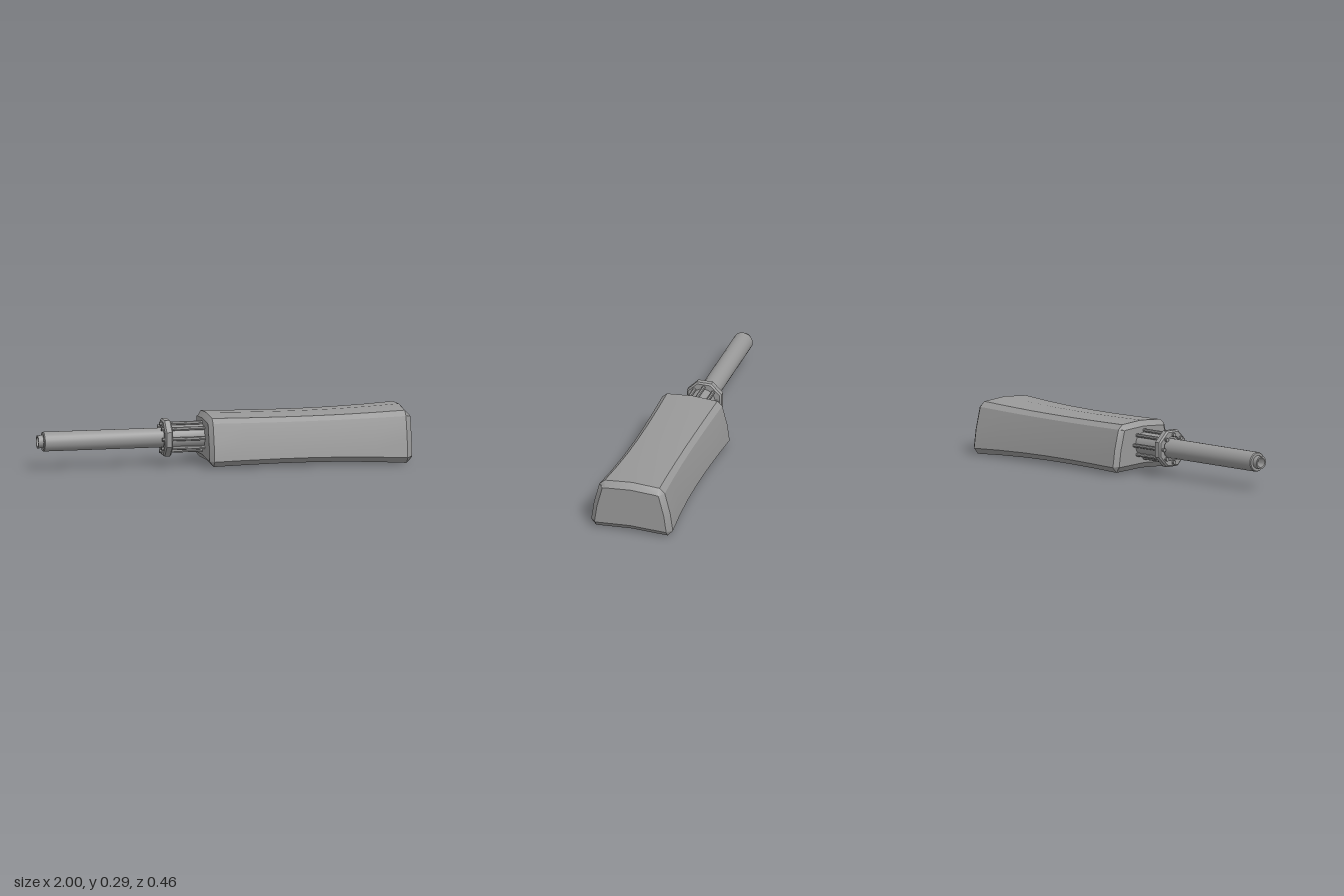
import * as THREE from 'three';
import { toCreasedNormals } from 'three/addons/utils/BufferGeometryUtils.js';

const AXIS_Y = 0.152;
const CENTRE_Y = 0.147;

// Half cross-sections as [z, y], from top centre round to bottom centre
const RIM = [[0, 0.29], [0.153, 0.279], [0.183, 0.252], [0.213, 0.138], [0.228, 0.034], [0.2, 0.002], [0, 0.012]];
const END = [[0, 0.258], [0.14, 0.249], [0.157, 0.246], [0.187, 0.13], [0.2, 0.04], [0.199, 0.034], [0, 0.044]];

function fullLoop(half) {
  const mirrored = half.slice(1, -1).reverse().map(([z, y]) => [-z, y]);
  return [...half, ...mirrored];
}

// Body: one section scaled along x, with bevelled ends
function bodyGeometry() {
  const stations = [
    [-0.1, 0.92, END], [-0.078, 0.92, RIM], [0.1, 0.892, RIM], [0.28, 0.876, RIM], [0.45, 0.875, RIM],
    [0.62, 0.893, RIM], [0.8, 0.937, RIM], [0.97, 1, RIM], [1, 1, END],
  ];
  const pos = [], idx = [];
  for (const [x, s, half] of stations) {
    for (const [z, y] of fullLoop(half)) pos.push(x, CENTRE_Y + (y - CENTRE_Y) * s, z * s);
  }
  const n = 12, last = (stations.length - 1) * n;
  for (let i = 0; i < stations.length - 1; i++) {
    for (let j = 0; j < n; j++) {
      const k = (j + 1) % n;
      const a = i * n + j, b = i * n + k, c = a + n, d = b + n;
      idx.push(a, b, c, b, d, c);
    }
  }
  // Flat end caps
  const c0 = pos.length / 3;
  pos.push(-0.1, CENTRE_Y, 0, 1, CENTRE_Y, 0);
  for (let j = 0; j < n; j++) {
    const k = (j + 1) % n;
    idx.push(c0, k, j, c0 + 1, last + j, last + k);
  }
  const g = new THREE.BufferGeometry();
  g.setAttribute('position', new THREE.Float32BufferAttribute(pos, 3));
  g.setIndex(idx);
  return toCreasedNormals(g, 0.55);
}

// Turned part along x; profile given as [radius, x]
function turned(profile, sides, phase = 0) {
  const g = new THREE.LatheGeometry(profile.map(([r, x]) => new THREE.Vector2(r, x)), sides, phase);
  g.rotateZ(-Math.PI / 2);
  return toCreasedNormals(g, 0.55);
}

export function createModel() {
  const model = new THREE.Group();
  const grey = new THREE.MeshStandardMaterial({ color: 0x999999 });
  grey.name = 'grey';

  function add(name, geometry, y = 0, z = 0) {
    const mesh = new THREE.Mesh(geometry, grey);
    mesh.name = name;
    mesh.position.set(0, y, z);
    model.add(mesh);
  }

  add('body', bodyGeometry());

  // Barrel with narrow hollow muzzle
  add('barrel', turned([
    [0, -0.95], [0.026, -0.95], [0.026, -1], [0.035, -1], [0.035, -0.972],
    [0.049, -0.972], [0.053, -0.967], [0.053, -0.29],
  ], 20), AXIS_Y);

  // Octagonal flange with a recess round the barrel
  add('flange', turned([
    [0.05, -0.307], [0.068, -0.307], [0.068, -0.322], [0.096, -0.322], [0.105, -0.314],
    [0.105, -0.286], [0.096, -0.278], [0.05, -0.278],
  ], 8, Math.PI / 8), AXIS_Y);

  // Core and the ring of rods joining flange to body
  add('core', turned([[0.064, -0.28], [0.064, -0.09]], 20), AXIS_Y);
  const rod = turned([[0, -0.335], [0.01, -0.335], [0.01, -0.09]], 8);
  for (let i = 0; i < 8; i++) {
    const a = i * Math.PI / 4;
    add('rod' + (i + 1), rod, AXIS_Y + 0.074 * Math.cos(a), 0.074 * Math.sin(a));
  }
  return model;
}
